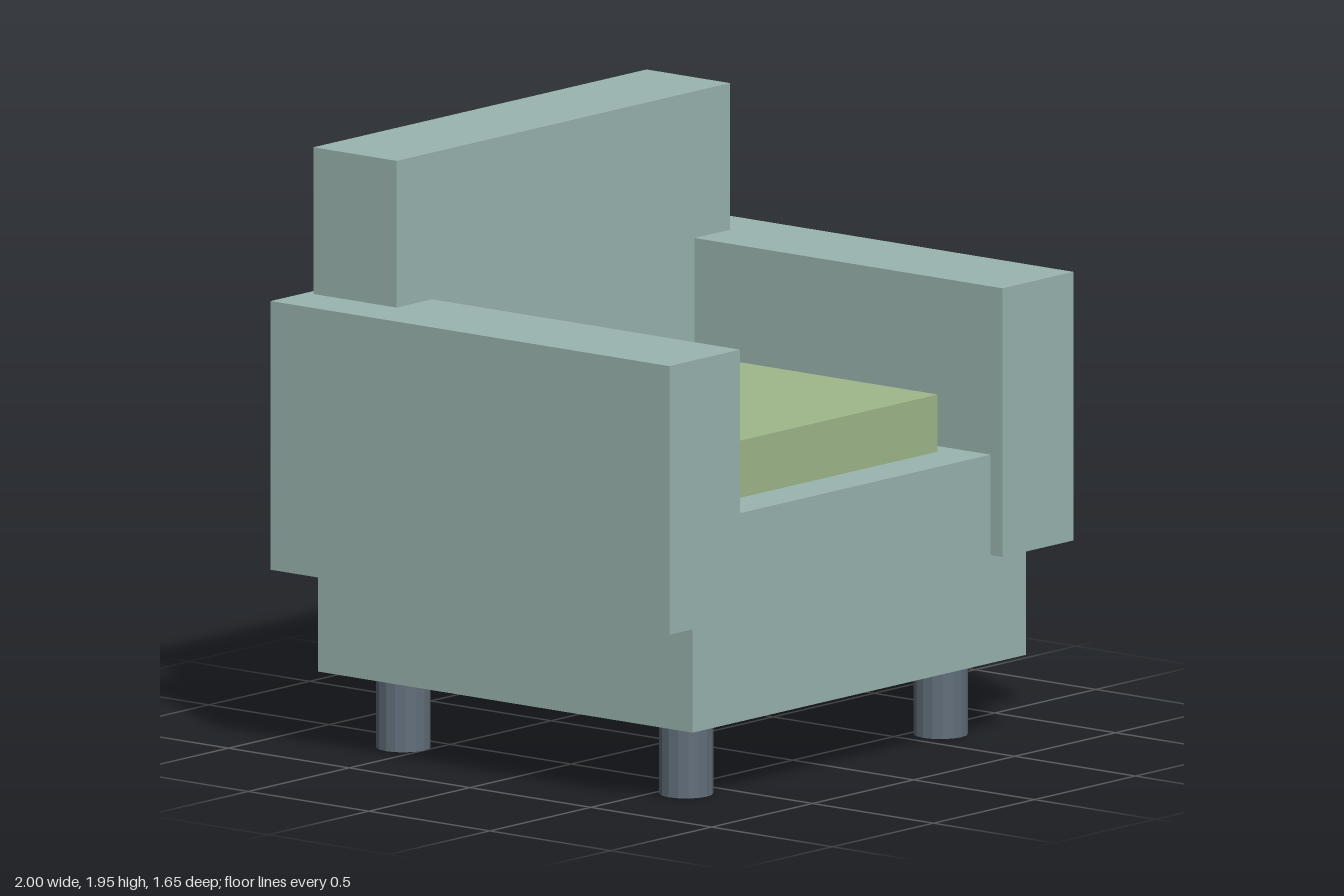
import * as THREE from 'three';

export function createModel() {
  const group = new THREE.Group();
  group.name = 'armchair';

  const material = (name, color, flatShading = false) => {
    const m = new THREE.MeshStandardMaterial({ color, flatShading });
    m.name = name;
    return m;
  };
  const upholstery = material('sage upholstery', 0x9ab5b0);
  const cushionGreen = material('green cushion', 0xa0b98b);
  const legGrey = material('slate legs', 0x616e7a, true);

  // Box given by its extents on each axis
  const box = (name, mat, [x0, x1], [y0, y1], [z0, z1]) => {
    const mesh = new THREE.Mesh(new THREE.BoxGeometry(x1 - x0, y1 - y0, z1 - z0), mat);
    mesh.name = name;
    mesh.position.set((x0 + x1) / 2, (y0 + y1) / 2, (z0 + z1) / 2);
    group.add(mesh);
  };

  // Upholstered body
  box('seatBase', upholstery, [-0.825, 0.825], [0.25, 0.925], [-0.775, 0.775]);
  box('backrest', upholstery, [-0.825, 0.825], [0.59, 1.945], [-0.795, -0.45]);
  box('leftArm', upholstery, [0.65, 1], [0.6, 1.47], [-0.825, 0.825]);
  box('rightArm', upholstery, [-1, -0.65], [0.6, 1.47], [-0.825, 0.825]);

  // Loose seat cushion
  box('seatCushion', cushionGreen, [-0.58, 0.58], [0.925, 1.11], [-0.545, 0.615]);

  // Four round legs
  const legGeometry = new THREE.CylinderGeometry(0.087, 0.087, 0.25, 16);
  for (const [side, x] of [['Left', 0.63], ['Right', -0.63]]) {
    for (const [end, z] of [['front', 0.585], ['back', -0.585]]) {
      const leg = new THREE.Mesh(legGeometry, legGrey);
      leg.name = `${end}${side}Leg`;
      leg.position.set(x, 0.125, z);
      group.add(leg);
    }
  }

  return group;
}
